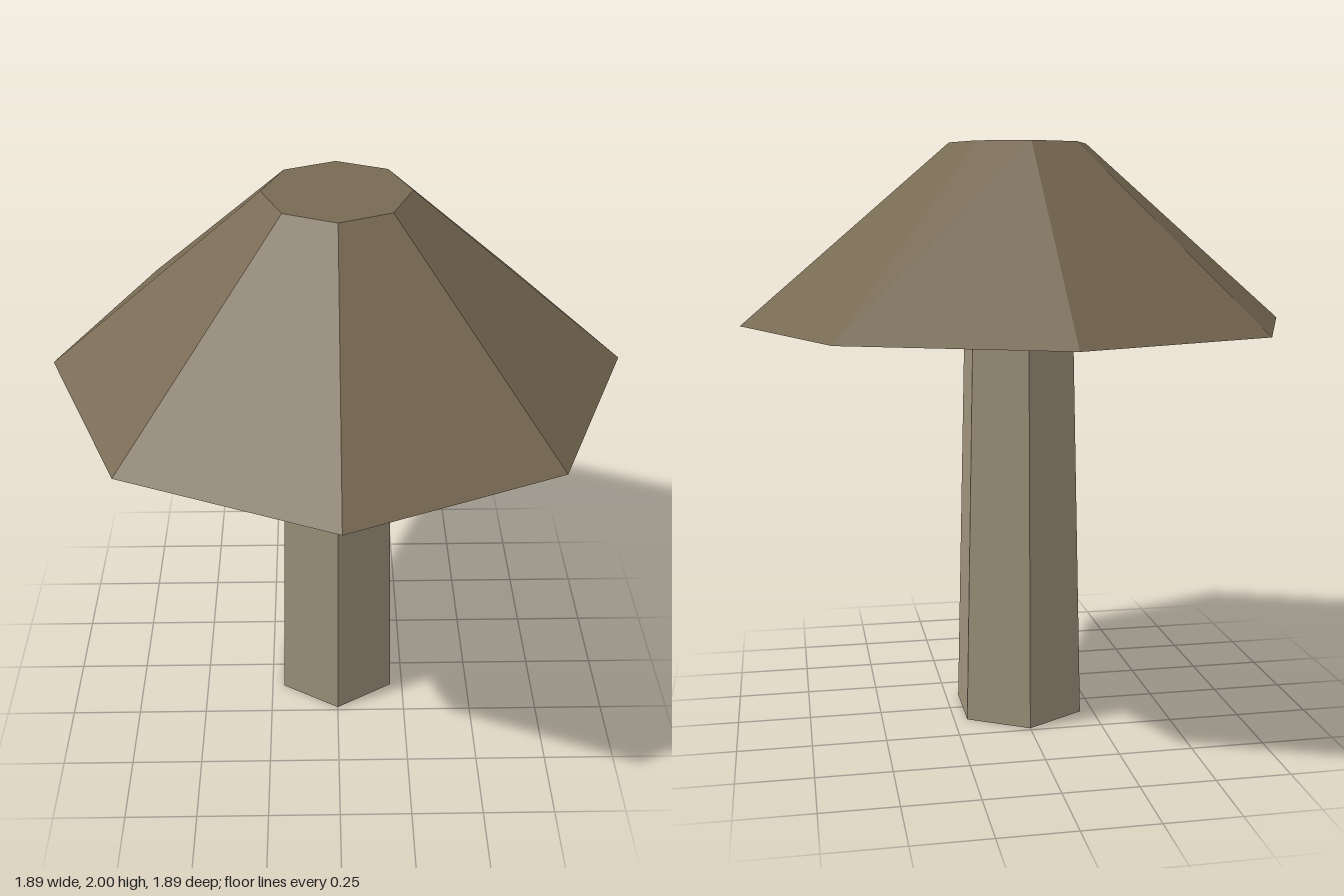
import * as THREE from 'three';

const CAP_BASE = 1.395; // height of the cap's underside
const TOP = 2;

const stemColour = new THREE.MeshStandardMaterial({ color: 0x9c917a });
stemColour.name = 'pale stem';
const capColour = new THREE.MeshStandardMaterial({ color: 0x786a53 });
capColour.name = 'brown cap';
for (const m of [stemColour, capColour]) m.flatShading = true;

// Tapered prism standing between two heights
function taper(name, rTop, rBottom, y0, y1, sides, material) {
  const geometry = new THREE.CylinderGeometry(rTop, rBottom, y1 - y0, sides);
  const mesh = new THREE.Mesh(geometry, material);
  mesh.position.y = (y0 + y1) / 2;
  mesh.name = name;
  return mesh;
}

export function createModel() {
  const group = new THREE.Group();
  group.name = 'mushroom';
  // Six-sided stem, slightly narrower at the top
  group.add(taper('stem', 0.2, 0.236, 0, CAP_BASE, 6, stemColour));
  // Eight-sided cap with a flat crown and flat underside
  group.add(taper('cap', 0.236, 0.945, CAP_BASE, TOP, 8, capColour));
  return group;
}
